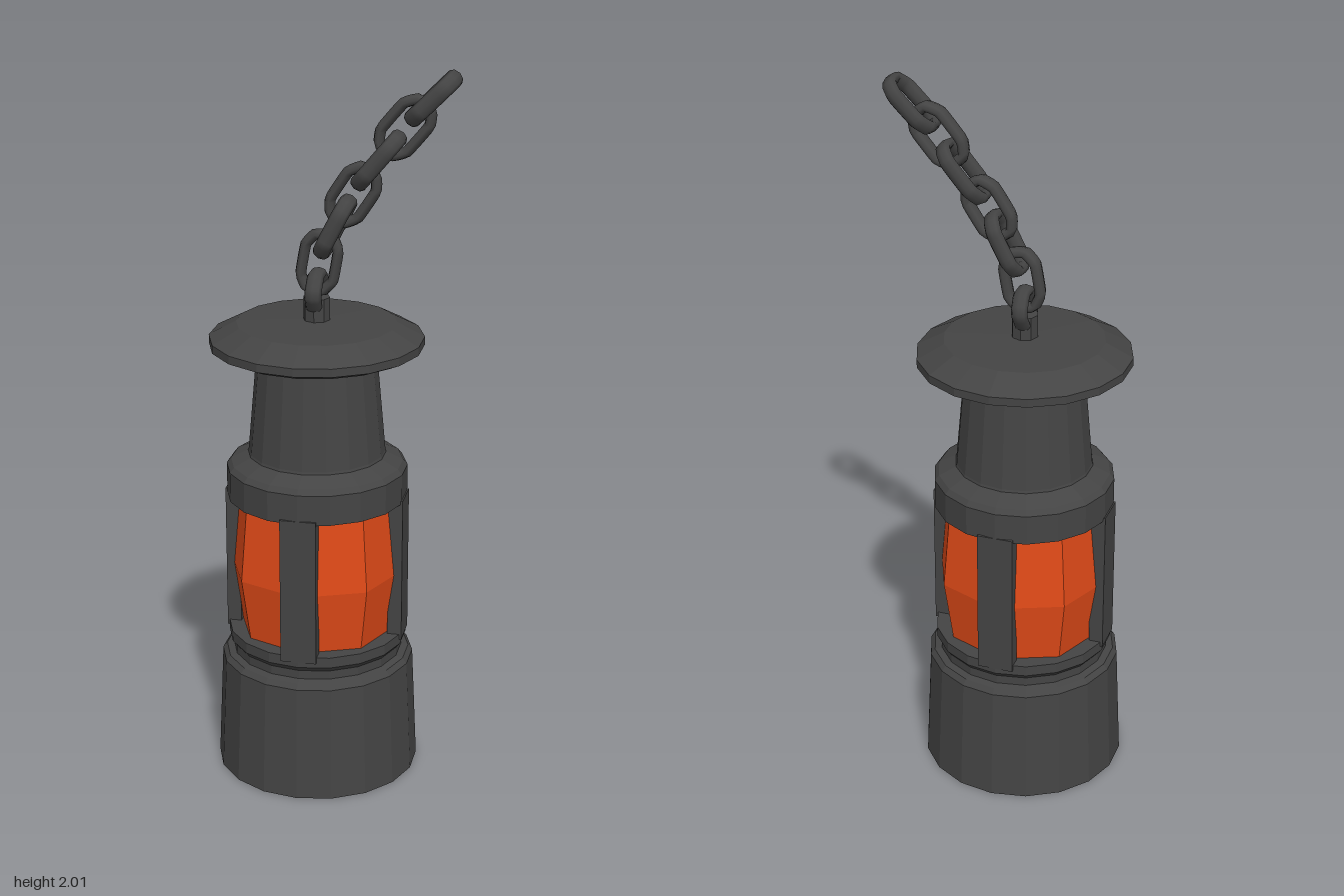
import * as THREE from 'three';

const iron = new THREE.MeshStandardMaterial({ color: 0x444444, flatShading: true });
const chainIron = new THREE.MeshStandardMaterial({ color: 0x444444 });
const glassMat = new THREE.MeshStandardMaterial({ color: 0xe04a18, flatShading: true });
const AXIS_X = -0.043; // the lantern stands left of centre, the chain swings right

// Turned part from [radius, height] pairs, listed bottom to top on the outside
function turned(name, profile, sides, material) {
  const pts = profile.map(([r, y]) => new THREE.Vector2(r, y));
  const mesh = new THREE.Mesh(new THREE.LatheGeometry(pts, sides), material);
  mesh.name = name;
  return mesh;
}

// Chamfered oval chain link, long axis y, lying in the xy plane
function linkGeometry(halfLength) {
  const w = 0.045, h = halfLength - 0.015;
  const corners = [[w, -h + 0.035], [w, h - 0.035], [0.022, h], [-0.022, h],
    [-w, h - 0.035], [-w, -h + 0.035], [-0.022, -h], [0.022, -h]];
  const curve = new THREE.CatmullRomCurve3(
    corners.map(([x, y]) => new THREE.Vector3(x, y, 0)), true, 'catmullrom', 0.15);
  return new THREE.TubeGeometry(curve, 32, 0.015, 8, true).scale(1, 1, 1.55);
}

export function createModel() {
  const model = new THREE.Group();
  model.name = 'hangingLantern';
  const lantern = new THREE.Group();
  lantern.name = 'lantern';
  lantern.position.x = AXIS_X;
  model.add(lantern);

  // Hollow base, groove and lower cage ring
  lantern.add(turned('base', [
    [0, 0.31], [0.215, 0.31], [0.227, 0], [0.287, 0], [0.272, 0.33], [0.26, 0.345],
    [0.24, 0.35], [0.24, 0.375], [0.252, 0.39], [0.252, 0.42], [0, 0.42],
  ], 18, iron));

  // Bulging glass with ridges in the middle of each window
  lantern.add(turned('glass', [[0.222, 0.41], [0.25, 0.6], [0.23, 0.82]], 8, glassMat));

  // Four cage bars
  for (let i = 0; i < 4; i++) {
    const bar = new THREE.Mesh(new THREE.BoxGeometry(0.1, 0.42, 0.04), iron);
    bar.name = 'cageBar';
    const a = (i * Math.PI) / 2;
    bar.position.set(Math.sin(a) * 0.232, 0.615, Math.cos(a) * 0.232);
    bar.rotation.y = a;
    lantern.add(bar);
  }

  // Upper cage ring, shoulder and tapering chimney
  lantern.add(turned('chimney', [
    [0, 0.815], [0.252, 0.815], [0.252, 0.9], [0.24, 0.915], [0.192, 0.938],
    [0.19, 0.945], [0.163, 1.25],
  ], 18, iron));

  // Wide cap
  lantern.add(turned('cap', [
    [0, 1.235], [0.262, 1.235], [0.295, 1.25], [0.295, 1.273], [0.22, 1.313], [0, 1.321],
  ], 18, iron));

  // Post that holds the first link
  const post = new THREE.Mesh(new THREE.CylinderGeometry(0.037, 0.037, 0.08, 8), iron);
  post.name = 'chainPost';
  post.position.y = 1.343;
  lantern.add(post);

  // Chain: x, y, lean from vertical in degrees, half length
  const chain = new THREE.Group();
  chain.name = 'chain';
  model.add(chain);
  [
    [-0.043, 1.4, 3, 0.06], [-0.035, 1.48, 10, 0.092], [0.008, 1.58, 27, 0.094],
    [0.057, 1.67, 33, 0.094], [0.125, 1.765, 40, 0.096], [0.195, 1.856, 40, 0.096],
    [0.268, 1.935, 45, 0.092],
  ].forEach(([x, y, lean, half], i) => {
    const geo = linkGeometry(half);
    if (i % 2 === 0) geo.rotateY(Math.PI / 2); // every other link is turned a quarter
    const link = new THREE.Mesh(geo, chainIron);
    link.name = 'chainLink';
    link.position.set(x, y, 0);
    link.rotation.z = -THREE.MathUtils.degToRad(lean);
    chain.add(link);
  });

  return model;
}
